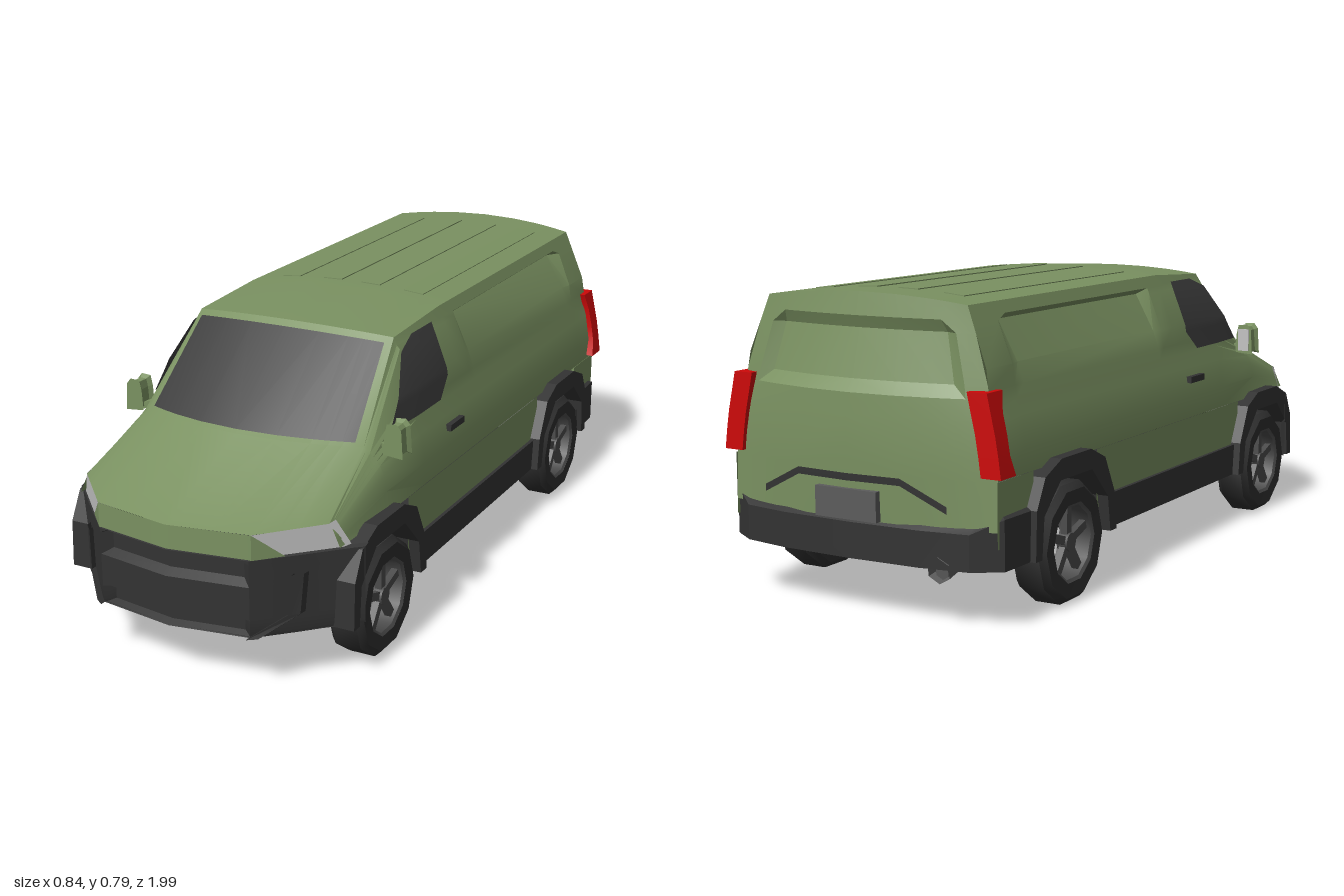
import * as THREE from 'three';
import { mergeGeometries, toCreasedNormals } from 'three/addons/utils/BufferGeometryUtils.js';

const mat = (name, color) => new THREE.MeshStandardMaterial({ name, color, side: THREE.DoubleSide });
const M = {
  paint: mat('green paint', 0x7a9161), trim: mat('black trim', 0x333333), glass: mat('dark glass', 0x3e3e3e),
  tyre: mat('tyre rubber', 0x2f2f2f), rim: mat('wheel grey', 0x4c4c4c), lamp: mat('pale lamp', 0xc2c2c2),
  red: mat('red lamp', 0xcc0808), metal: mat('grey metal', 0x5c5c5c),
};

// Piecewise linear lookup in a list of [key, value] pairs
function lookup(table, k) {
  for (let i = 1; i < table.length; i++) {
    const [a, va] = table[i - 1], [b, vb] = table[i];
    if (k <= b || i === table.length - 1) return va + (vb - va) * THREE.MathUtils.clamp((k - a) / (b - a), 0, 1);
  }
}
const sideX = (y, z = 0) => lookup([[0.24, 0.39], [0.42, 0.388], [0.5, 0.375], [0.54, 0.362], [0.62, 0.35],
  [0.765, 0.293]], y) - Math.max(0, z - 0.345) * 0.06;
const noseZ = x => lookup([[0, 0.99], [0.22, 0.955], [0.4, 0.77]], x);
const edgeZ = y => lookup([[0.24, -0.935], [0.5, -0.925], [0.765, -0.905]], y);
const tailZ = y => lookup([[0.24, -0.985], [0.42, -0.993], [0.56, -0.985], [0.74, -0.94], [0.79, -0.93]], y);
const rearZ = (y, f) => tailZ(y) + (edgeZ(y) - tailZ(y)) * f * f;

// Half surface from rows of equal length
function loft(rows) {
  const p = [];
  for (let i = 0; i + 1 < rows.length; i++)
    for (let j = 0; j + 1 < rows[i].length; j++) {
      const a = rows[i][j], b = rows[i][j + 1], c = rows[i + 1][j + 1], d = rows[i + 1][j];
      p.push(...a, ...b, ...c, ...a, ...c, ...d);
    }
  const g = new THREE.BufferGeometry();
  g.setAttribute('position', new THREE.Float32BufferAttribute(p, 3));
  return g;
}
// Mirror across x = 0, keeping the winding right
function flip(geo) {
  const g = (geo.index ? geo.toNonIndexed() : geo.clone()).scale(-1, 1, 1);
  for (const a of Object.values(g.attributes))
    for (let i = 0; i < a.count; i += 3)
      for (let k = 0; k < a.itemSize; k++) {
        const t = a.getComponent(i + 1, k);
        a.setComponent(i + 1, k, a.getComponent(i + 2, k));
        a.setComponent(i + 2, k, t);
      }
  return g;
}

export function createModel() {
  const van = new THREE.Group();
  van.name = 'van';
  const add = (name, geo, material) => {
    const m = new THREE.Mesh(geo, material);
    m.name = name;
    van.add(m);
    return m;
  };
  const sheet = (name, rows, material) => {
    const g = loft(rows);
    return add(name, toCreasedNormals(mergeGeometries([g, flip(g)]), 0.4), material);
  };
  const pair = (name, geo, material) => {
    add(name + 'Left', geo, material);
    add(name + 'Right', flip(geo), material);
  };
  // Outline in (z, y) extruded from x0 to x1
  const slab = (pts, x0, x1) => new THREE.ExtrudeGeometry(
    new THREE.Shape(pts.map(([z, y]) => new THREE.Vector2(-z, y))),
    { depth: x1 - x0, bevelEnabled: false }).rotateY(Math.PI / 2).translate(x0, 0, 0);

  // Main shell: cross-sections from tail to nose
  const F = [1, 0.85, 0.75, 0.62, 0.35, 0];
  const Y = [0.36, 0.42, 0.5, 0.54, 0.57, 0.62, 0.72, 0.735, 0.765];
  const top = f => 0.765 + 0.022 * (1 - f * f);
  const plain = (zAt, dent = 0) => [
    ...Y.map((y, i) => [sideX(y) - dent * (i === 5 ? 0.4 : i === 6 ? 1 : 0), y, zAt(y, 1)]),
    ...F.slice(1).map(f => [0.293 * f, top(f), zAt(0.765, f)])];
  const screenTop = f => [0.293 * f, 0.75 + 0.016 * (1 - f * f), 0.345 + 0.03 * (1 - f * f)];
  const screenBase = f => [0.322 * f, 0.527 + 0.012 * (1 - f * f), 0.57 + 0.09 * (1 - f * f)];
  const header = [...Y.slice(0, 7).map(y => [sideX(y), y, 0.345]), [0.302, 0.73, 0.345], ...F.map(screenTop)];
  const cowl = [[0.39, 0.36], [0.387, 0.42], [0.379, 0.46], [0.368, 0.485], [0.358, 0.495], [0.349, 0.505],
    [0.34, 0.515], [0.33, 0.522]].map(([x, y]) => [x, y, 0.57]).concat(F.map(screenBase));
  const nose = [0.36, 0.375, 0.385, 0.395, 0.402, 0.407, 0.411, 0.414]
    .map(y => [0.382 - (y - 0.36) * 0.45, y, 0.81])
    .concat(F.map(f => [0.355 * f, 0.418 - 0.004 * (1 - f), noseZ(0.355 * f)]));
  sheet('bodyShell', [plain((y, f) => rearZ(f === 1 ? y : 0.787, f)), plain(() => -0.8), plain(() => -0.76, 0.026),
    plain(() => -0.03, 0.026), plain(() => 0), plain(() => 0.07), header, cowl, nose], M.paint);

  // Lower side panels
  for (const [z0, z1] of [[-0.935, -0.77], [-0.45, 0.45]])
    sheet('lowerSide', [[[0.39, 0.2, z0], [0.39, 0.36, z0]], [[0.39, 0.2, z1], [0.39, 0.36, z1]]], M.paint);

  // Tail with sunken upper panel
  sheet('tailPanel', [0.24, 0.36, 0.42, 0.5, 0.55, 0.58, 0.7, 0.73, 0.765].map(y => F.map((f, j) => [
    sideX(y) * f, y === 0.765 ? top(f) : y,
    (y === 0.765 ? rearZ(f === 1 ? y : 0.787, f) : rearZ(y, f)) + (j > 1 && y > 0.56 && y < 0.71 ? 0.02 : 0)])), M.paint);

  // Windscreen and side windows
  sheet('windscreen', [0.07, 0.97].map(t => [0.94, ...F.slice(1)].map(f => {
    const a = screenTop(f), b = screenBase(f);
    return a.map((v, i) => v + (b[i] - v) * t + (i ? 0.004 : 0));
  })), M.glass);
  sheet('sideWindow', [[0.548, 0.49, 0.205], [0.6, 0.445, 0.145], [0.62, 0.43, 0.145], [0.715, 0.35, 0.145],
    [0.742, 0.27, 0.145]].map(([y, a, b]) => [a, Math.min(a, 0.345), b].map(z => [sideX(y, z) + 0.005, y, z])), M.glass);

  // Roof ribs
  for (const x of [-0.193, -0.06, 0.06, 0.193]) {
    const rib = add('roofRib', new THREE.BoxGeometry(0.058, 0.008, 0.83), M.paint);
    rib.position.set(x, top(x / 0.293) - 0.002, -0.395);
    rib.rotation.z = -x * 0.5;
  }

  // Nose panel and headlamps
  const front = (x, y, out = 0) => [x, y, noseZ(x) + out];
  sheet('nosePanel', [[front(0, 0.414), front(0.22, 0.416), front(0.22, 0.416)],
    [front(0, 0.35), front(0.22, 0.35), front(0.28, 0.35)]], M.paint);
  sheet('headlamp', [[front(0.22, 0.416), front(0.355, 0.42), [0.36, 0.422, 0.79]],
    [front(0.275, 0.355), front(0.382, 0.355), [0.392, 0.358, 0.77]]], M.lamp);

  // Front bumper with sunken grille and lower intake
  const bumperRows = [[0.355, -0.012, 0], [0.35, 0.004, 0], [0.34, 0.004, 1], [0.295, 0.004, 1], [0.28, 0.004, 0],
    [0.2, 0.004, 0], [0.192, 0.004, 1], [0.155, 0.004, 1], [0.145, 0, 0]];
  sheet('frontBumper', bumperRows.map(([y, out, dent]) => [0, 0.19, 0.215, 0.3, 0.4, 0.422].map((x, j) =>
    [x, y, (x > 0.41 ? 0.75 : noseZ(x)) + out - (j < 2 ? dent * 0.025 : 0)])), M.trim);
  sheet('bumperFin', [[0.322, 0.296, 0.305], [0.315, 0.288, 0.2], [0.24, 0.212, 0.148]].map(([a, b, y]) =>
    [front(a, y), front(a - 0.004, y, 0.02), front(b, y, 0.02), front(b, y)]), M.trim);

  // Wheel arches, sills and wheel wells
  const outer = [[0.2, 0.145], [0.195, 0.27], [0.155, 0.345], [0.075, 0.378], [-0.075, 0.378], [-0.15, 0.345],
    [-0.205, 0.24], [-0.215, 0.145]];
  const inner = [[-0.18, 0.145], [-0.165, 0.24], [-0.08, 0.325], [0.08, 0.325], [0.16, 0.25], [0.17, 0.145]];
  for (const s of [1, -1]) {
    const arch = [...outer, ...inner].map(([z, y]) => [s * (0.61 + z), y]);
    pair('wheelArch', slab(arch, 0.28, 0.42), M.trim);
    pair('wheelWell', new THREE.BoxGeometry(0.01, 0.2, 0.38).translate(0.28, 0.245, s * 0.61), M.trim);
  }
  pair('sill', slab([[-0.42, 0.145], [0.42, 0.145], [0.42, 0.235], [-0.42, 0.235]], 0.3, 0.4), M.trim);

  // Floor
  sheet('floor', [[0, 0.985], [0.215, 0.955], [0.4, 0.78], [0.28, 0.78], [0.28, 0.43], [0.39, 0.43], [0.39, -0.43],
    [0.28, -0.43], [0.28, -0.78], [0.395, -0.78], [0.395, -0.91], [0.2, -0.985], [0, -0.99]]
    .map(([x, z]) => [[0, 0.147, z], [x, 0.147, z]]), M.trim);

  // Rear bumper, chevron strip and plate
  const tailPlan = [[0, -0.992], [0.2, -0.985], [0.33, -0.965], [0.4, -0.92], [0.405, -0.77]];
  const tailRow = (y, inset) => tailPlan.map(([x, z], i) => [x - (i > 2 ? inset : 0), y + (inset ? (i > 2 ? 0.03 : 0) : 0),
    z + (i < 4 ? inset : 0)]);
  sheet('rearBumper', [tailRow(0.145, 0), tailRow(0.235, 0).map((p, i) => [p[0], i > 2 ? 0.27 : p[1], p[2]]),
    tailRow(0.25, 0.02)], M.trim);
  sheet('tailStrip', [[0, 0.355], [0.15, 0.355], [0.27, 0.295]].map(([x, y]) =>
    [y, y - 0.018].map(h => [x, h, rearZ(h, x / 0.39) - 0.006])), M.trim);
  add('numberPlate', new THREE.BoxGeometry(0.18, 0.075, 0.02).translate(0, 0.28, -0.99), M.metal);

  // Tail lamps follow the lean of the side
  const lamp = new THREE.BoxGeometry(0.055, 0.2, 0.068, 1, 4, 1).translate(0, 0.47, -0.918);
  const lp = lamp.attributes.position;
  for (let i = 0; i < lp.count; i++) {
    const y = lp.getY(i), mid = y > 0.4 && y < 0.53;
    lp.setX(i, lp.getX(i) + sideX(y) - 0.012 + (y < 0.4 ? 0.006 : 0));
    if (mid && lp.getZ(i) > -0.9) lp.setZ(i, -0.9);
  }
  pair('tailLamp', toCreasedNormals(lamp, 0.4), M.red);

  // Door mirrors
  const mirror = new THREE.Shape([[0.362, 0.505], [0.417, 0.5], [0.412, 0.575], [0.4, 0.59], [0.372, 0.588], [0.366, 0.56]]
    .map(p => new THREE.Vector2(...p)));
  pair('mirrorHousing', new THREE.ExtrudeGeometry(mirror, { depth: 0.03, bevelEnabled: true, bevelSize: -0.008,
    bevelOffset: 0, bevelThickness: 0.012, bevelSegments: 1 }).translate(0, 0, 0.5), M.paint);
  pair('mirrorGlass', new THREE.BoxGeometry(0.034, 0.066, 0.005).translate(0.389, 0.543, 0.487), M.lamp);
  pair('mirrorArm', new THREE.BoxGeometry(0.06, 0.018, 0.022).rotateZ(-0.3).translate(0.356, 0.518, 0.515), M.paint);

  // Door handles
  pair('doorHandle', new THREE.BoxGeometry(0.016, 0.018, 0.088).translate(0.386, 0.468, 0.152), M.trim);

  // Exhaust
  const pipe = new THREE.CylinderGeometry(0.02, 0.016, 0.2, 6).rotateX(-Math.PI / 2 - 0.15);
  add('exhaustPipe', toCreasedNormals(pipe.translate(-0.25, 0.15, -0.86), 0.4), M.metal);
  const tip = new THREE.CylinderGeometry(0.034, 0.03, 0.05, 6, 1, true).rotateX(-Math.PI / 2 - 0.15);
  add('exhaustTip', toCreasedNormals(tip.translate(-0.25, 0.145, -0.95), 0.4), M.metal);

  // Wheels: ten-sided tyre, rim ring and five spokes
  const v = pts => pts.map(p => new THREE.Vector2(...p));
  const turn = pts => new THREE.LatheGeometry(v(pts), 10).rotateZ(-Math.PI / 2);
  const tyre = toCreasedNormals(turn([[0.1, 0.315], [0.142, 0.315], [0.158, 0.33], [0.158, 0.4], [0.142, 0.416],
    [0.104, 0.414]]), 0.7);
  const spokes = [turn([[0.106, 0.413], [0.096, 0.408], [0.096, 0.316]]).toNonIndexed(),
    new THREE.CylinderGeometry(0.024, 0.024, 0.03, 10).rotateZ(Math.PI / 2).translate(0.39, 0, 0).toNonIndexed()];
  for (let i = 0; i < 5; i++)
    spokes.push(new THREE.BoxGeometry(0.018, 0.09, 0.022).translate(0.39, 0.056, 0)
      .rotateX(i * Math.PI * 0.4).toNonIndexed());
  const rim = toCreasedNormals(mergeGeometries(spokes), 0.7);
  for (const z of [0.61, -0.61]) {
    pair('tyre', tyre.clone().translate(0, 0.152, z), M.tyre);
    pair('rim', rim.clone().translate(0, 0.152, z), M.rim);
  }
  return van;
}
